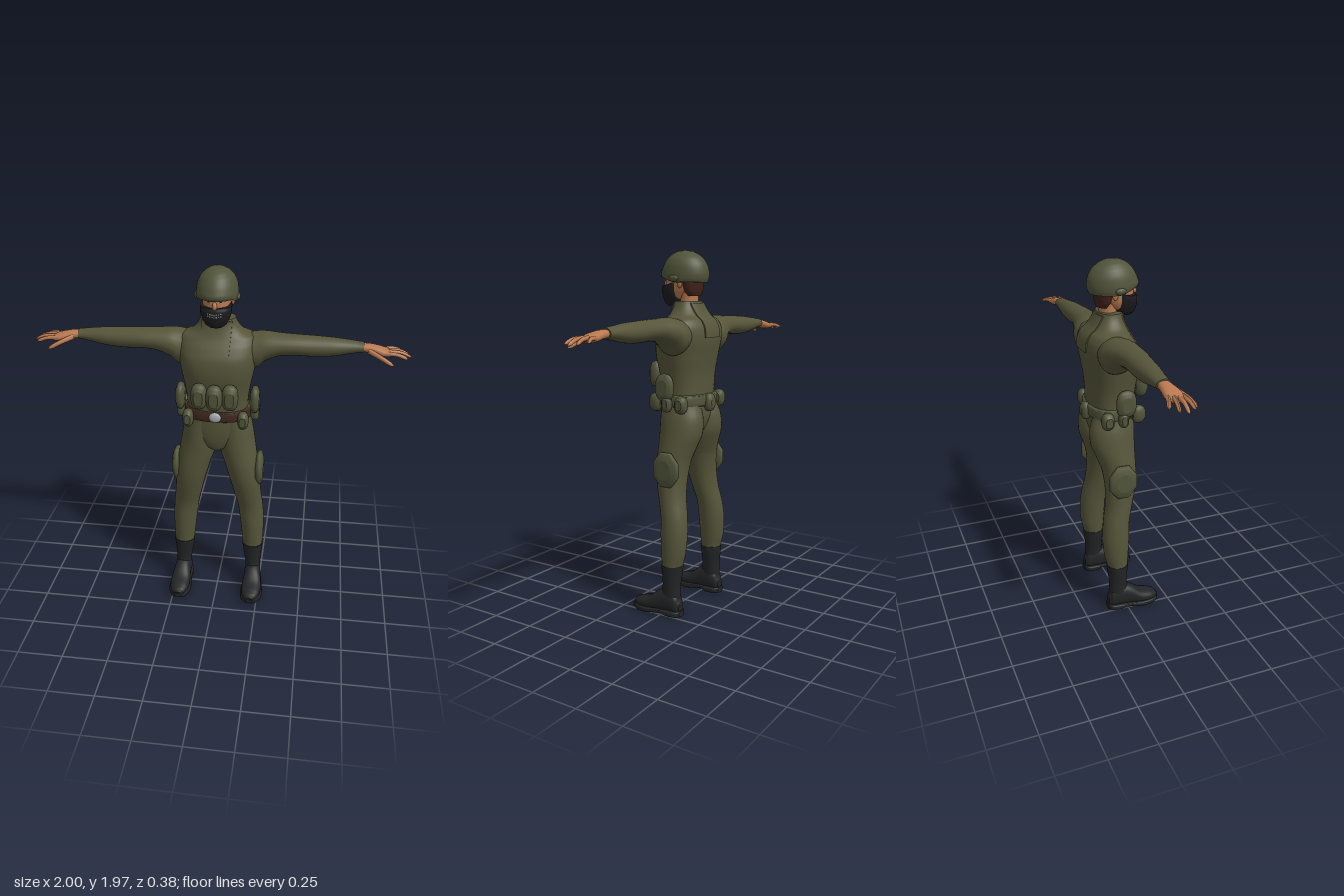
import * as THREE from 'three';

const mat = (name, color) => Object.assign(new THREE.MeshStandardMaterial({ color }), { name });

// Catmull-Rom sample of a list of sections at height t
function section(rows, t) {
  let i = 0;
  while (i < rows.length - 2 && t > rows[i + 1][0]) i++;
  const f = (t - rows[i][0]) / (rows[i + 1][0] - rows[i][0]);
  const r = k => rows[Math.max(0, Math.min(rows.length - 1, k))];
  const [a, b, c, d] = [r(i - 1), r(i), r(i + 1), r(i + 2)];
  return b.map((v, k) => k === 0 ? t : v + 0.5 * f * (c[k] - a[k]
    + f * (2 * a[k] - 5 * v + 4 * c[k] - d[k] + f * (3 * (v - c[k]) + d[k] - a[k]))));
}

// Skin over rounded sections: axis y rows are [y,x0,x1,z0,z1], x rows [x,y0,y1,z0,z1], z rows [z,x0,x1,y0,y1]
function loft(axis, rows, { p = 2, seg = 28, steps = 4, from = 0, to = Math.PI * 2, caps = true } = {}) {
  const pos = [], idx = [], rings = [];
  const put = (t, u, v) => pos.push(...(axis === 'x' ? [t, u, v] : axis === 'y' ? [v, t, u] : [u, v, t]));
  const full = to - from > 6.28, n = full ? seg : seg + 1;
  rows.slice(0, -1).forEach((r, i) => {
    for (let k = 0; k < steps; k++) rings.push(section(rows, r[0] + (rows[i + 1][0] - r[0]) * k / steps));
  });
  rings.push(rows[rows.length - 1]);
  const bend = c => Math.sign(c) * Math.abs(c) ** (2 / p);
  const ring = r => {
    const [u0, u1, v0, v1] = axis === 'y' ? [r[3], r[4], r[1], r[2]] : r.slice(1);
    for (let j = 0; j < n; j++) {
      const a = from + (to - from) * j / seg;
      put(r[0], (u0 + u1) / 2 + (u1 - u0) / 2 * bend(Math.cos(a)), (v0 + v1) / 2 + (v1 - v0) / 2 * bend(Math.sin(a)));
    }
    return [r[0], (u0 + u1) / 2, (v0 + v1) / 2];
  };
  rings.forEach(ring);
  for (let i = 0; i < rings.length - 1; i++) for (let j = 0; j < seg; j++) {
    const a = i * n + j, b = i * n + (j + 1) % n;
    idx.push(a, b, b + n, a, b + n, a + n);
  }
  if (caps && full) [rings[0], rings[rings.length - 1]].forEach((r, end) => {
    const s = pos.length / 3;
    put(...ring(r));
    for (let j = 0; j < n; j++) {
      const k = s + (j + 1) % n;
      idx.push(s + n, end ? s + j : k, end ? k : s + j);
    }
  });
  const g = new THREE.BufferGeometry();
  g.setAttribute('position', new THREE.Float32BufferAttribute(pos, 3));
  g.setIndex(idx);
  g.computeVertexNormals();
  return g;
}

// Move vertices by a rule
function warp(g, rule) {
  const p = g.attributes.position, v = new THREE.Vector3();
  for (let i = 0; i < p.count; i++) { rule(v.fromBufferAttribute(p, i), i); p.setXYZ(i, v.x, v.y, v.z); }
  g.computeVertexNormals();
  return g;
}

// Mirrored copy across x with corner order kept outward
function mirror(g) {
  const m = g.index ? g.toNonIndexed() : g.clone();
  m.scale(-1, 1, 1);
  for (const a of Object.values(m.attributes)) for (let i = 0; i < a.count; i += 3) for (let k = 0; k < a.itemSize; k++) {
    const s = a.getComponent(i + 1, k);
    a.setComponent(i + 1, k, a.getComponent(i + 2, k));
    a.setComponent(i + 2, k, s);
  }
  return m;
}

// Depth of a y-lofted surface at x, y, on its front (1) or back (-1)
function depth(rows, p, x, y, side) {
  const [, x0, x1, z0, z1] = section(rows, y);
  const k = Math.min(1, Math.abs(x - (x0 + x1) / 2) / ((x1 - x0) / 2));
  return (z0 + z1) / 2 + side * (z1 - z0) / 2 * (1 - k ** p) ** (1 / p);
}

// Thin plate that hugs a lofted surface
function plate(rows, p, side, x, y, w, h, thick, taper = 0) {
  return warp(new THREE.BoxGeometry(w, h, thick, 8, 8, 1), v => {
    v.x = x + v.x * (1 + taper * v.y / h);
    v.y += y;
    v.z += depth(rows, p, v.x, v.y, side);
  });
}

const ball = (x, y, z, a, b, c) => new THREE.SphereGeometry(1, 16, 12).scale(a, b, c).translate(x, y, z);

// Rounded pouch, domed along its axis; s gives the sizes along x, y, z
function pouch(axis, c, s, opt) {
  const order = { x: [0, 1, 2], z: [2, 0, 1] }[axis];
  const [t, u, v] = order.map(i => c[i]), [st, su, sv] = order.map(i => s[i] / 2);
  const rows = [[-1, 0.55], [-0.6, 0.9], [0, 1], [0.6, 0.9], [1, 0.55]].map(([d, k]) =>
    [t + d * st, u - su * k, u + su * k, v - sv * k, v + sv * k]);
  return loft(axis, rows, { p: 2.5, seg: 20, steps: 2, ...opt });
}

// Tapered finger along a curve
function finger(points, r) {
  const c = new THREE.CatmullRomCurve3(points.map(q => new THREE.Vector3(...q)));
  const g = new THREE.TubeGeometry(c, 12, r, 8);
  return warp(g, (v, i) => {
    const t = Math.floor(i / 9) / 12;
    v.lerp(c.getPointAt(t), t === 1 ? 1 : t > 0.9 ? 0.5 : 0.3 * t);
  });
}

export function createModel() {
  const uniform = mat('uniform olive', 0x56553a), gear = mat('gear olive', 0x51543a), skin = mat('skin', 0xb97950),
    boot = mat('boot black', 0x232425), cloth = mat('mask black', 0x1c1c1f), hairMat = mat('hair brown', 0x43231b),
    leather = mat('belt brown', 0x3f281f), metal = mat('buckle metal', 0xa8adb2), pale = mat('pale print', 0x9a9a96);
  const model = new THREE.Group();
  const add = (name, g, m) => {
    const mesh = new THREE.Mesh(g, m);
    mesh.name = name;
    model.add(mesh);
  };
  const both = (name, g, m) => { add(name + 'Left', g, m); add(name + 'Right', mirror(g), m); };

  // Torso with raised collar
  const torso = [[1.14, -0.165, 0.165, -0.14, 0.09], [1.24, -0.166, 0.166, -0.143, 0.1], [1.32, -0.176, 0.176, -0.147, 0.11],
    [1.42, -0.196, 0.196, -0.162, 0.127], [1.5, -0.207, 0.207, -0.175, 0.122], [1.56, -0.207, 0.207, -0.17, 0.094],
    [1.6, -0.192, 0.192, -0.15, 0.067], [1.625, -0.14, 0.14, -0.122, 0.056], [1.66, -0.108, 0.108, -0.1, 0.045],
    [1.7, -0.092, 0.092, -0.085, 0.042]];
  add('torso', loft('y', torso, { p: 2.4, seg: 40 }), uniform);
  add('collarFrontPanel', plate(torso, 2.4, 1, 0, 1.61, 0.15, 0.16, 0.014, 0.1), uniform);
  add('collarBackPanel', plate(torso, 2.4, -1, 0, 1.6, 0.14, 0.18, 0.014, -0.1), uniform);

  // Hips and legs
  add('hips', loft('y', [[0.945, -0.03, 0.03, -0.05, 0.05], [0.97, -0.08, 0.08, -0.09, 0.07], [1.02, -0.14, 0.14, -0.12, 0.083],
    [1.08, -0.172, 0.172, -0.14, 0.09], [1.16, -0.167, 0.167, -0.14, 0.092]], { p: 2.2 }), uniform);
  both('leg', loft('y', [[0.27, 0.148, 0.262, -0.106, 0.006], [0.35, 0.14, 0.266, -0.125, 0.012], [0.45, 0.128, 0.267, -0.132, 0.018],
    [0.55, 0.115, 0.26, -0.124, 0.022], [0.65, 0.093, 0.248, -0.105, 0.045], [0.75, 0.068, 0.24, -0.1, 0.068],
    [0.85, 0.04, 0.228, -0.11, 0.078], [0.93, 0.012, 0.216, -0.137, 0.08], [1, -0.003, 0.204, -0.162, 0.082],
    [1.08, -0.003, 0.19, -0.163, 0.083], [1.16, 0, 0.168, -0.14, 0.083]]), uniform);

  // Boots
  both('bootShaft', loft('y', [[0.08, 0.165, 0.255, -0.1, 0.03], [0.13, 0.166, 0.254, -0.1, 0.008], [0.18, 0.16, 0.256, -0.1, 0.003],
    [0.24, 0.15, 0.261, -0.107, 0.007], [0.285, 0.145, 0.265, -0.111, 0.011]]), boot);
  both('bootFoot', loft('z', [[-0.108, 0.187, 0.233, 0.02, 0.08], [-0.09, 0.17, 0.25, 0.015, 0.12], [-0.04, 0.163, 0.258, 0.012, 0.15],
    [0.02, 0.163, 0.264, 0.012, 0.135], [0.08, 0.158, 0.272, 0.012, 0.092], [0.14, 0.163, 0.266, 0.012, 0.073],
    [0.175, 0.178, 0.25, 0.014, 0.06], [0.188, 0.198, 0.23, 0.02, 0.045]], { p: 2.3 }), boot);
  both('bootSole', loft('z', [[-0.113, 0.185, 0.235, 0, 0.032], [-0.095, 0.162, 0.258, 0, 0.032], [-0.04, 0.158, 0.264, 0, 0.032],
    [-0.015, 0.158, 0.267, 0.011, 0.032], [0.03, 0.156, 0.274, 0.009, 0.032], [0.09, 0.15, 0.28, 0, 0.032], [0.145, 0.157, 0.272, 0, 0.032],
    [0.18, 0.175, 0.252, 0.004, 0.034], [0.192, 0.195, 0.232, 0.01, 0.036]], { p: 5 }), boot);

  // Sleeves
  both('sleeve', loft('x', [[0.12, 1.45, 1.6, -0.135, 0.04], [0.2, 1.42, 1.615, -0.148, 0.047], [0.25, 1.464, 1.62, -0.132, 0.045],
    [0.32, 1.496, 1.616, -0.112, 0.04], [0.4, 1.505, 1.613, -0.102, 0.035], [0.5, 1.501, 1.609, -0.1, 0.025],
    [0.6, 1.507, 1.603, -0.095, 0.014], [0.7, 1.525, 1.592, -0.087, -0.003], [0.752, 1.533, 1.586, -0.083, -0.008]]), uniform);

  // Hands
  both('palm', loft('x', [[0.73, 1.54, 1.58, -0.075, -0.015], [0.79, 1.532, 1.577, -0.08, -0.008], [0.84, 1.522, 1.567, -0.086, 0.003],
    [0.88, 1.522, 1.555, -0.085, 0.005], [0.897, 1.529, 1.547, -0.074, -0.006]], { p: 2.3, seg: 20 }), skin);
  [[[0.86, 1.544, -0.006], [0.925, 1.54, -0.002], [0.978, 1.52, 0.002]], [[0.86, 1.546, -0.03], [0.94, 1.541, -0.034], [1, 1.515, -0.038]],
    [[0.86, 1.546, -0.052], [0.93, 1.542, -0.064], [0.986, 1.52, -0.076]], [[0.85, 1.544, -0.073], [0.905, 1.543, -0.092], [0.948, 1.528, -0.11]],
    [[0.78, 1.55, -0.015], [0.85, 1.525, 0.026], [0.907, 1.496, 0.046]],
  ].forEach((pts, i) => both(['index', 'middle', 'ring', 'little', 'thumb'][i] + 'Finger', finger(pts, i === 4 ? 0.015 : 0.0125), skin));

  // Neck, head and face
  add('neck', loft('y', [[1.62, -0.06, 0.06, -0.085, 0.03], [1.7, -0.052, 0.052, -0.075, 0.02], [1.78, -0.055, 0.055, -0.08, 0.02]]), skin);
  const face = [[1.69, -0.04, 0.04, 0.02, 0.09], [1.72, -0.06, 0.06, -0.03, 0.106], [1.76, -0.071, 0.071, -0.07, 0.112],
    [1.8, -0.075, 0.075, -0.09, 0.112], [1.85, -0.078, 0.078, -0.1, 0.11], [1.9, -0.065, 0.065, -0.08, 0.09]];
  add('head', loft('y', face), skin);
  add('nose', ball(0, 1.793, 0.113, 0.012, 0.022, 0.018), skin);
  both('ear', ball(0.078, 1.795, -0.015, 0.01, 0.028, 0.016), skin);
  both('eyeWhite', plate(face, 2, 1, 0.031, 1.815, 0.024, 0.009, 0.004), pale);
  both('iris', plate(face, 2, 1, 0.03, 1.815, 0.01, 0.009, 0.007), cloth);
  both('eyebrow', plate(face, 2, 1, 0.032, 1.829, 0.036, 0.007, 0.007), hairMat);
  add('hair', loft('y', [[1.725, -0.05, 0.05, -0.088, -0.03], [1.75, -0.068, 0.068, -0.095, -0.015],
    [1.8, -0.08, 0.08, -0.102, 0], [1.85, -0.083, 0.083, -0.105, 0]]), hairMat);

  // Face mask, rising toward the ears, with a pale toothy print
  const mask = [[1.676, -0.035, 0.035, 0.03, 0.1], [1.69, -0.056, 0.056, 0.005, 0.115], [1.73, -0.074, 0.074, -0.008, 0.126],
    [1.765, -0.081, 0.081, -0.01, 0.127], [1.784, -0.081, 0.081, -0.01, 0.12]];
  add('mask', warp(loft('y', mask, { p: 2.2 }), v => {
    v.y += Math.max(0, 0.065 - v.z) * Math.max(0, v.y - 1.72) * 6;
  }), cloth);
  for (let i = -3; i <= 3; i++) for (const row of [0, 1])
    add('maskPrint', plate(mask, 2.2, 1, i * 0.011, 1.74 + row * 0.012 + Math.abs(i) * 0.002, 0.006, 0.006, 0.004), pale);

  // Helmet with lifted front brim and side fittings
  add('helmet', warp(loft('y', [[1.797, -0.104, 0.104, -0.128, 0.13], [1.815, -0.108, 0.108, -0.135, 0.136], [1.845, -0.108, 0.108, -0.138, 0.136],
    [1.885, -0.102, 0.102, -0.129, 0.122], [1.92, -0.086, 0.086, -0.107, 0.1], [1.945, -0.062, 0.062, -0.076, 0.072],
    [1.96, -0.035, 0.035, -0.043, 0.04], [1.966, -0.003, 0.003, -0.005, 0.003]], { seg: 36 }), v => {
    if (v.y < 1.86) v.y += (1.86 - v.y) * Math.max(0, Math.min(1, (v.z - 0.01) / 0.08)) * 0.4;
  }), gear);
  both('helmetFitting', ball(0.104, 1.818, 0.005, 0.014, 0.018, 0.03), gear);

  // Belt: leather front, fabric back, metal buckle
  const belt = [[1.142, -0.165, 0.165, -0.14, 0.09], [1.15, -0.18, 0.18, -0.155, 0.106], [1.2, -0.18, 0.18, -0.155, 0.106],
    [1.208, -0.165, 0.165, -0.14, 0.09]];
  add('beltFront', loft('y', belt, { p: 2.4, from: -1.4, to: 1.4 }), leather);
  add('beltBack', loft('y', belt, { p: 2.4, from: 1.4, to: Math.PI * 2 - 1.4 }), gear);
  add('buckle', ball(0, 1.177, 0.107, 0.033, 0.028, 0.012), metal);

  // Pouches on chest, belt, waist and thighs
  for (const x of [-0.082, 0, 0.082]) add('chestPouch', pouch('z', [x, 1.308, x ? 0.128 : 0.142], [0.088, 0.145, 0.07]), gear);
  both('beltFrontPouch', pouch('z', [0.148, 1.163, 0.09], [0.06, 0.1, 0.07]), gear);
  both('beltSidePouch', pouch('x', [0.195, 1.163, -0.1], [0.06, 0.095, 0.07]), gear);
  both('beltHipPouch', pouch('x', [0.203, 1.165, -0.015], [0.045, 0.09, 0.055]), gear);
  add('beltBackPouch', pouch('z', [0, 1.163, -0.158], [0.075, 0.1, 0.05]), gear);
  both('waistPouch', pouch('x', [0.202, 1.25, 0], [0.05, 0.15, 0.11]), gear);
  both('thighPouch', pouch('x', [0.234, 0.815, -0.028], [0.05, 0.205, 0.168],
    { p: 2, seg: 8, from: Math.PI / 8, to: Math.PI * 2.125 }), gear);
  return model;
}
